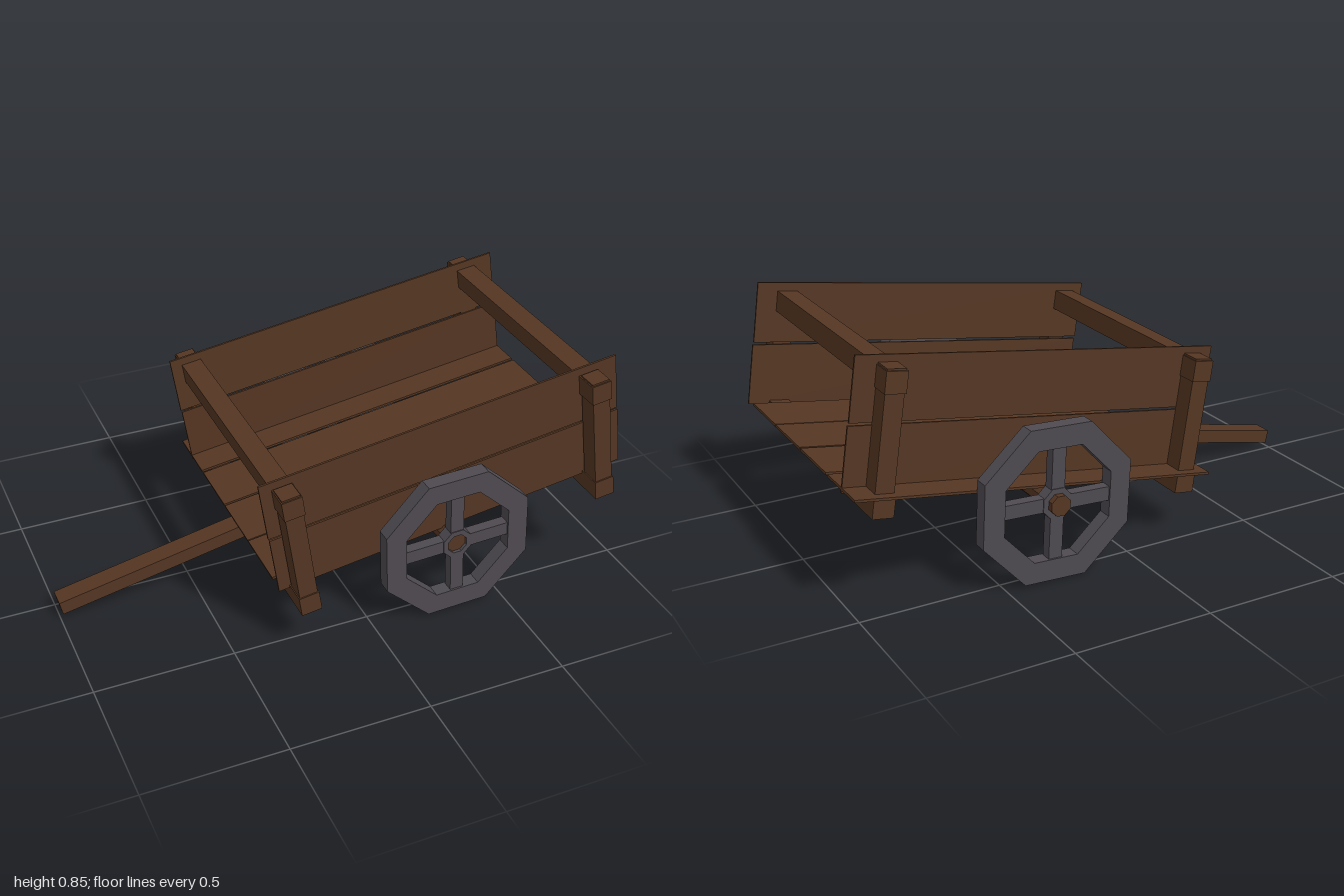
import * as THREE from 'three';

const wood = new THREE.MeshStandardMaterial({ color: 0x553622 });
wood.name = 'brown wood';
const iron = new THREE.MeshStandardMaterial({ color: 0x4e4a50 });
iron.name = 'grey wheel';

// box given by its limits on each axis
function box(parent, name, [x0, x1], [y0, y1], [z0, z1], material = wood) {
  const mesh = new THREE.Mesh(new THREE.BoxGeometry(x1 - x0, y1 - y0, z1 - z0), material);
  mesh.position.set((x0 + x1) / 2, (y0 + y1) / 2, (z0 + z1) / 2);
  mesh.name = name;
  parent.add(mesh);
  return mesh;
}

function octagon(radius, PathType) {
  const points = [];
  for (let i = 0; i < 8; i++) {
    const a = (i + 0.5) * Math.PI / 4;
    points.push(new THREE.Vector2(Math.cos(a) * radius, Math.sin(a) * radius));
  }
  return new PathType(points);
}

// eight-sided ring centred on z = 0
function ring(name, outer, inner, depth) {
  const shape = octagon(outer, THREE.Shape);
  shape.holes.push(octagon(inner, THREE.Path));
  const geometry = new THREE.ExtrudeGeometry(shape, { depth, bevelEnabled: false });
  geometry.translate(0, 0, -depth / 2);
  const mesh = new THREE.Mesh(geometry, iron);
  mesh.name = name;
  return mesh;
}

function makeWheel(name, z) {
  const wheel = new THREE.Group();
  wheel.name = name;
  wheel.add(ring('rim', 0.296, 0.214, 0.054), ring('hub', 0.058, 0.038, 0.046));
  for (let i = 0; i < 4; i++) {
    const arm = new THREE.Group();
    arm.name = 'spokeArm';
    arm.rotation.z = i * Math.PI / 2;
    box(arm, 'spoke', [0.045, 0.205], [-0.025, 0.025], [-0.02, 0.02], iron);
    wheel.add(arm);
  }
  wheel.position.set(0.31, 0.28, z);
  wheel.rotation.z = 0.045;
  return wheel;
}

export function createModel() {
  const cart = new THREE.Group();
  cart.name = 'cart';

  // tilted body: x runs along the floor, y up from it
  const body = new THREE.Group();
  body.name = 'body';
  body.position.set(-0.33, 0.22, 0);
  body.rotation.z = THREE.MathUtils.degToRad(8.4);
  cart.add(body);

  // floor planks
  for (const z of [[0.208, 0.437], [-0.028, 0.203], [-0.265, -0.037], [-0.508, -0.28]]) {
    box(body, 'floorPlank', [0, 1.342], [0.004, 0.013], z);
  }

  // two thin planks on each side
  for (const z of [[0.487, 0.495], [-0.403, -0.395]]) {
    box(body, 'lowerSidePlank', [0, 1.342], [-0.006, 0.216], z);
    box(body, 'upperSidePlank', [-0.003, 1.339], [0.225, 0.445], z);
  }

  // crossbars joined by corner posts at each end
  for (const x of [0.076, 1.228]) {
    for (const y of [-0.032, 0.378]) {
      box(body, 'crossbar', [x - 0.037, x + 0.037], [y - 0.037, y + 0.037], [-0.481, 0.582]);
    }
    for (const z of [[0.503, 0.577], [-0.475, -0.4]]) {
      box(body, 'cornerPost', [x - 0.033, x + 0.033], [-0.065, 0.421], z);
    }
  }

  // centre beam under the floor
  box(body, 'centreBeam', [0.05, 1.267], [-0.062, -0.001], [0.012, 0.087]);

  // pulling handle, bent down from the beam
  const handle = new THREE.Group();
  handle.name = 'handle';
  handle.position.set(-0.995, 0.045, 0);
  handle.rotation.z = 0.202;
  box(handle, 'handleBar', [0, 0.78], [-0.026, 0.026], [0.012, 0.087]);
  cart.add(handle);

  // axle and wheels
  const axle = new THREE.Mesh(new THREE.CylinderGeometry(0.038, 0.038, 1.14, 8).toNonIndexed(), wood);
  axle.geometry.computeVertexNormals();
  axle.geometry.rotateY(Math.PI / 8);
  axle.geometry.rotateX(Math.PI / 2);
  axle.name = 'axle';
  axle.position.set(0.31, 0.28, -0.012);
  axle.rotation.z = 0.045;
  cart.add(axle, makeWheel('leftWheel', 0.547), makeWheel('rightWheel', -0.537));

  return cart;
}
